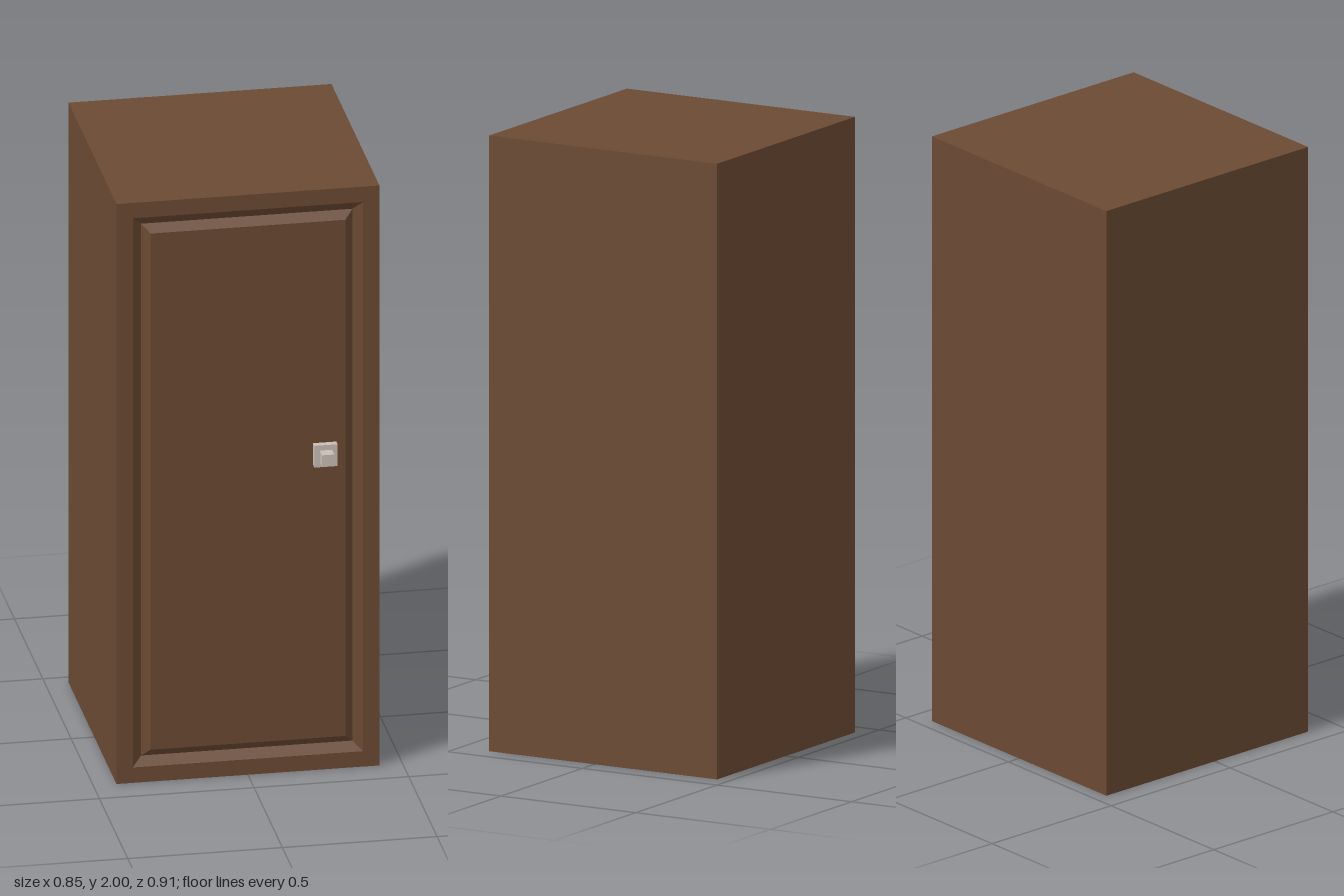
import * as THREE from 'three';

const W = 0.425, H = 2, BACK = -0.455, SEAM = 0.36, FRONT = 0.392;

function box(name, material, w, h, d, x, y, z) {
  const mesh = new THREE.Mesh(new THREE.BoxGeometry(w, h, d), material);
  mesh.name = name;
  mesh.position.set(x, y, z);
  return mesh;
}

// Skins a series of nested rectangles [inset, z], back to front, and caps the last one
function steppedPanel(rings) {
  const points = [];
  const corners = ([inset, z]) => {
    const x = W - inset, y0 = inset, y1 = H - inset;
    return [[-x, y0, z], [x, y0, z], [x, y1, z], [-x, y1, z]];
  };
  const quad = (a, b, c, d) => points.push(...a, ...b, ...c, ...a, ...c, ...d);
  for (let i = 0; i < rings.length - 1; i++) {
    const a = corners(rings[i]), b = corners(rings[i + 1]);
    for (let k = 0; k < 4; k++) {
      const n = (k + 1) % 4;
      quad(a[k], a[n], b[n], b[k]);
    }
  }
  quad(...corners(rings[rings.length - 1]));
  const geometry = new THREE.BufferGeometry();
  geometry.setAttribute('position', new THREE.Float32BufferAttribute(points, 3));
  geometry.computeVertexNormals();
  return geometry;
}

export function createModel() {
  const wood = new THREE.MeshStandardMaterial({ color: 0x6b4a33 });
  wood.name = 'brown wood';
  const metal = new THREE.MeshStandardMaterial({ color: 0xc8beb5 });
  metal.name = 'pale metal';

  const cabinet = new THREE.Group();
  cabinet.name = 'cabinet';

  // Carcass
  cabinet.add(box('carcass', wood, 2 * W, H, SEAM - BACK, 0, H / 2, (SEAM + BACK) / 2));

  // Door with a mitred V groove around its centre panel
  const door = new THREE.Mesh(steppedPanel([
    [0, SEAM], [0, FRONT], [0.053, FRONT], [0.083, FRONT - 0.022], [0.11, FRONT],
  ]), wood);
  door.name = 'door';
  cabinet.add(door);

  // Handle: square backplate and knob
  const handle = new THREE.Group();
  handle.name = 'handle';
  handle.position.set(0.248, 1.09, FRONT);
  handle.add(box('backplate', metal, 0.075, 0.075, 0.023, 0, 0, 0.0115));
  handle.add(box('knob', metal, 0.04, 0.04, 0.04, 0, 0, 0.043));
  cabinet.add(handle);

  return cabinet;
}
